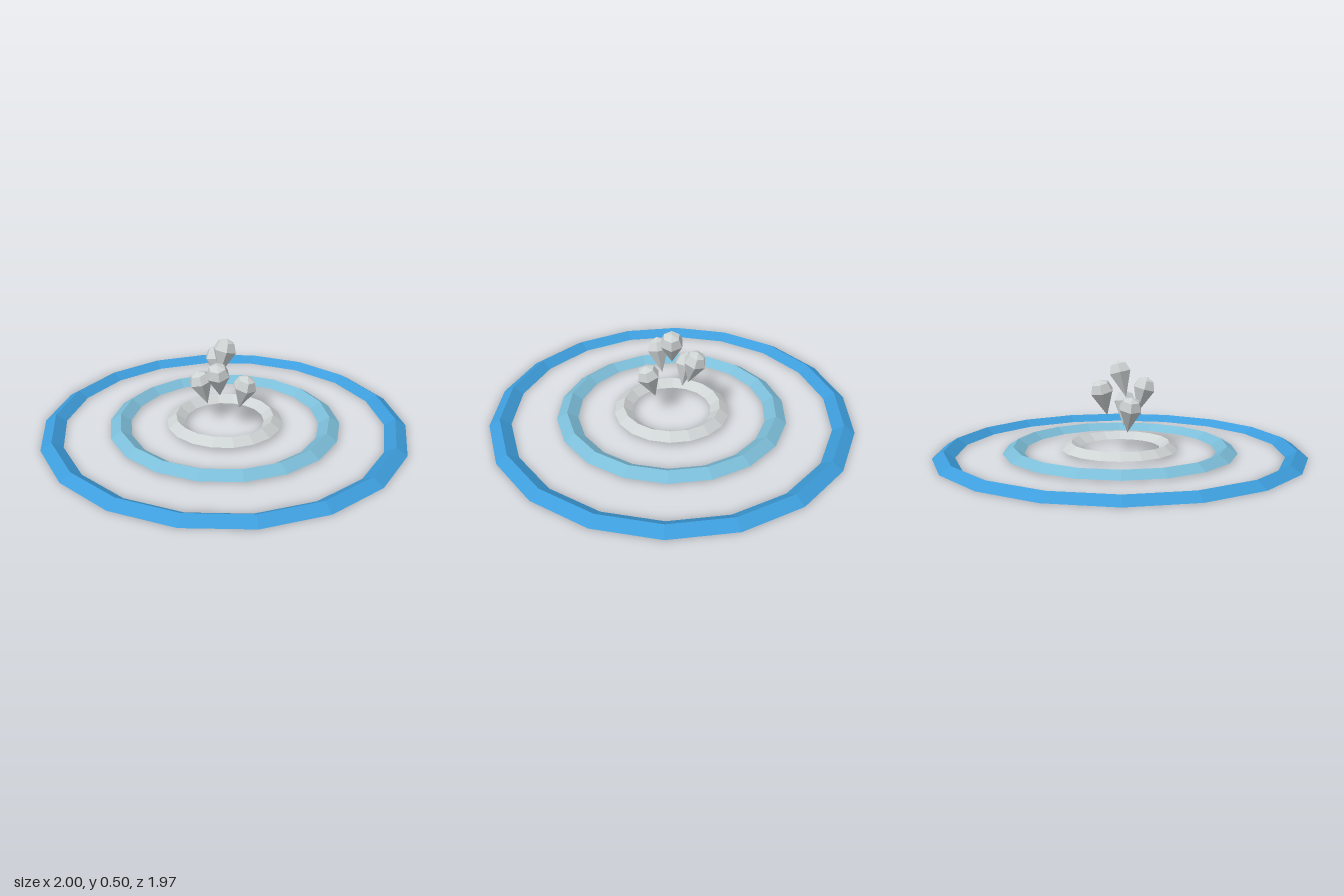
import * as THREE from 'three';

// Faceted solid of revolution with a corner on the x axis
function facetedLathe(profile, sides) {
  const points = profile.map(([r, y]) => new THREE.Vector2(r, y));
  const geometry = new THREE.LatheGeometry(points, sides).rotateY(Math.PI / 2).toNonIndexed();
  geometry.computeVertexNormals();
  return geometry;
}

export function createModel() {
  const model = new THREE.Group();
  model.name = 'waterSplash';

  const blue = new THREE.MeshStandardMaterial({ color: 0x3d9ddb });
  blue.name = 'water blue';
  const paleBlue = new THREE.MeshStandardMaterial({ color: 0x7cbdd8 });
  paleBlue.name = 'pale blue';
  const foam = new THREE.MeshStandardMaterial({ color: 0xced3d4 });
  foam.name = 'foam white';

  // Concentric ripples: triangular section with a flat base, each a little higher
  const ripples = [
    ['outerRipple', 0.882, 0.941, 1.0, 0, blue],
    ['middleRipple', 0.52, 0.578, 0.635, 0.009, paleBlue],
    ['innerRipple', 0.217, 0.268, 0.319, 0.018, foam],
  ];
  for (const [name, inner, ridge, outer, y, material] of ripples) {
    const profile = [[inner, y], [outer, y], [ridge, y + 0.037], [inner, y]];
    const ripple = new THREE.Mesh(facetedLathe(profile, 18), material);
    ripple.name = name;
    model.add(ripple);
  }

  // Droplet: long point below, rounded dome above, origin at the widest ring
  const r = 0.065;
  const dropGeometry = facetedLathe(
    [[0, -0.138], [r, 0], [r * Math.SQRT1_2, r * Math.SQRT1_2], [0, r]], 6);

  // One droplet in the middle and four around it, leaning outward
  const droplets = new THREE.Group();
  droplets.name = 'droplets';
  const tilt = 0.27;
  for (let i = 0; i < 5; i++) {
    const angle = (i / 5) * Math.PI * 2;
    const spread = i === 0 ? 0 : 0.13;
    const height = i === 0 ? 0.433 : i % 2 ? 0.253 : 0.343;
    const drop = new THREE.Mesh(dropGeometry, foam);
    drop.name = i === 0 ? 'topDroplet' : `droplet${i}`;
    drop.position.set(Math.cos(angle) * spread, height, Math.sin(angle) * spread);
    drop.rotation.set(Math.sin(angle) * tilt, 0, -Math.cos(angle) * tilt);
    droplets.add(drop);
  }
  model.add(droplets);

  return model;
}
